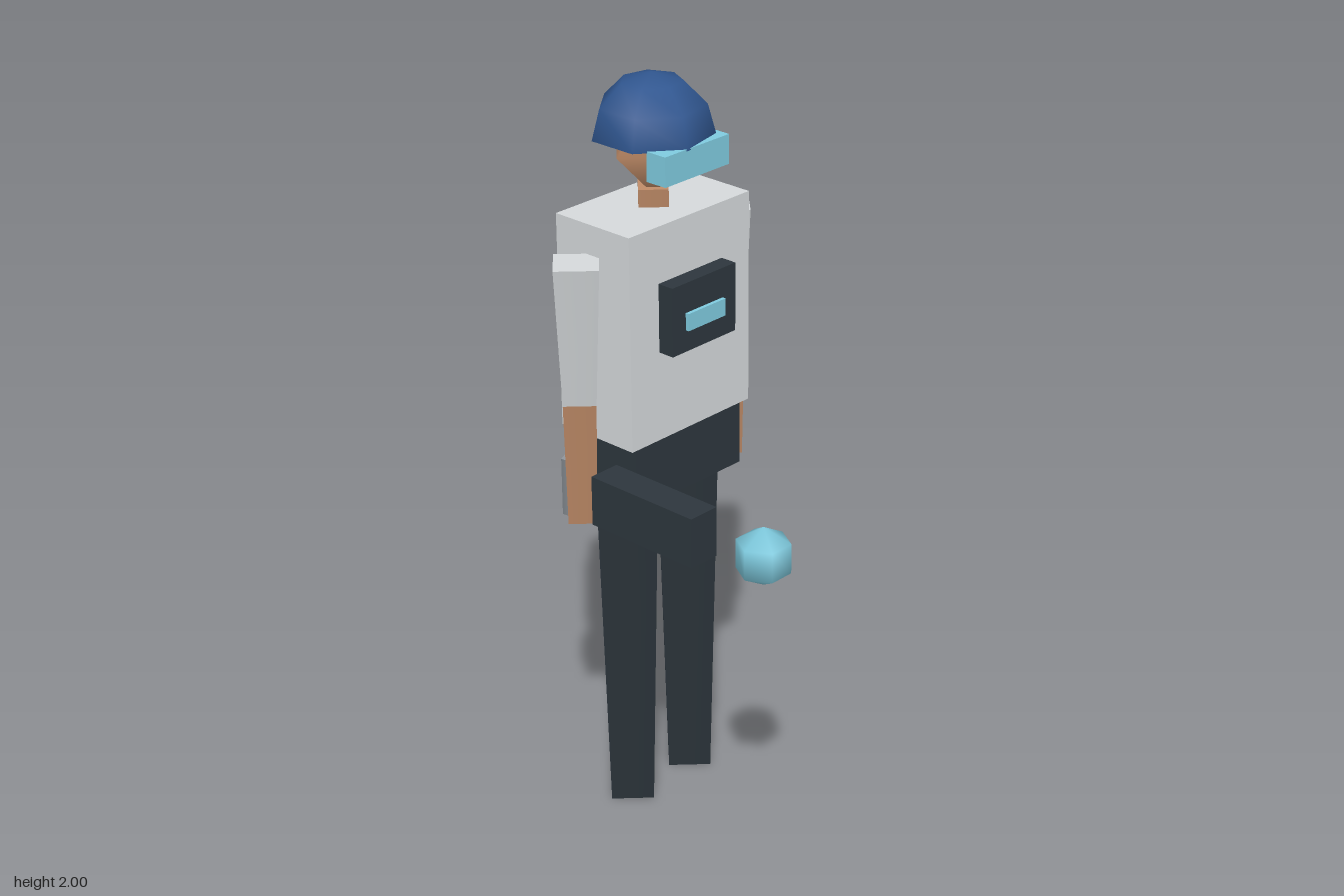
import * as THREE from 'three';

const mat = (name, color, side = THREE.FrontSide) => {
  const m = new THREE.MeshStandardMaterial({ color, side });
  m.name = name;
  return m;
};

export function createModel() {
  const model = new THREE.Group();
  model.name = 'helmetedFigure';
  const shirt = mat('lightGrey', 0xd5d9db);
  const dark = mat('darkSlate', 0x2d363d);
  const skin = mat('skin', 0xc08c68);
  const cyan = mat('cyan', 0x7fcbdf);
  const blue = mat('helmetBlue', 0x30568f, THREE.DoubleSide);
  const grey = mat('midGrey', 0x90969c);
  const Z = -0.26; // body centre line

  const add = (name, geo, material, x, y, z, turn = 0) => {
    const m = new THREE.Mesh(geo, material);
    m.name = name;
    m.position.set(x, y, z);
    m.rotation.y = turn;
    model.add(m);
  };
  // Box given by its limits on each axis
  const box = (name, material, [x0, x1], [y0, y1], [z0, z1]) =>
    add(name, new THREE.BoxGeometry(x1 - x0, y1 - y0, z1 - z0), material,
      (x0 + x1) / 2, (y0 + y1) / 2, (z0 + z1) / 2);
  // Tapered upright limb between two heights
  const limb = (name, material, x, z, y0, y1, rBottom, rTop, sides = 4, turn = 0) =>
    add(name, new THREE.CylinderGeometry(rTop, rBottom, y1 - y0, sides), material,
      x, (y0 + y1) / 2, z, turn);

  // Trunk
  box('torso', shirt, [-0.215, 0.215], [1.092, 1.664], [-0.384, -0.136]);
  box('hips', dark, [-0.193, 0.193], [0.915, 1.092], [-0.374, -0.146]);
  box('chestPanel', dark, [-0.114, 0.114], [1.332, 1.515], [-0.14, -0.09]);
  box('chestDisplay', cyan, [-0.067, 0.067], [1.39, 1.436], [-0.092, -0.08]);

  // Limbs and hip holsters
  for (const [side, s] of [['left', 1], ['right', -1]]) {
    limb(side + 'Leg', dark, s * 0.112, Z, 0, 0.918, 0.08, 0.11);
    limb(side + 'UpperArm', shirt, s * 0.272, Z, 1.22, 1.585, 0.059, 0.079);
    limb(side + 'Forearm', skin, s * 0.272, Z, 0.89, 1.22, 0.051, 0.059);
    limb(side + 'Holster', grey, s * 0.228, -0.316, 0.87, 1.027, 0.045, 0.045, 5, Math.PI - 0.2);
  }

  // Head
  limb('neck', skin, 0, Z, 1.66, 1.71, 0.053, 0.053);
  add('head', new THREE.SphereGeometry(0.125, 4, 2), skin, 0, 1.81, Z);
  box('visor', cyan, [-0.113, 0.113], [1.77, 1.847], [-0.172, -0.11]);
  add('helmet', new THREE.SphereGeometry(0.157, 7, 3, 0, Math.PI * 2, 0, Math.PI / 2),
    blue, 0, 1.843, Z, Math.PI);

  // Hand-held device and the orb in front of it
  box('device', dark, [-0.317, -0.228], [0.915, 1.049], [-0.18, 0.159]);
  add('orb', new THREE.SphereGeometry(0.078, 6, 3), cyan, -0.273, 1.003, 0.352);

  return model;
}
